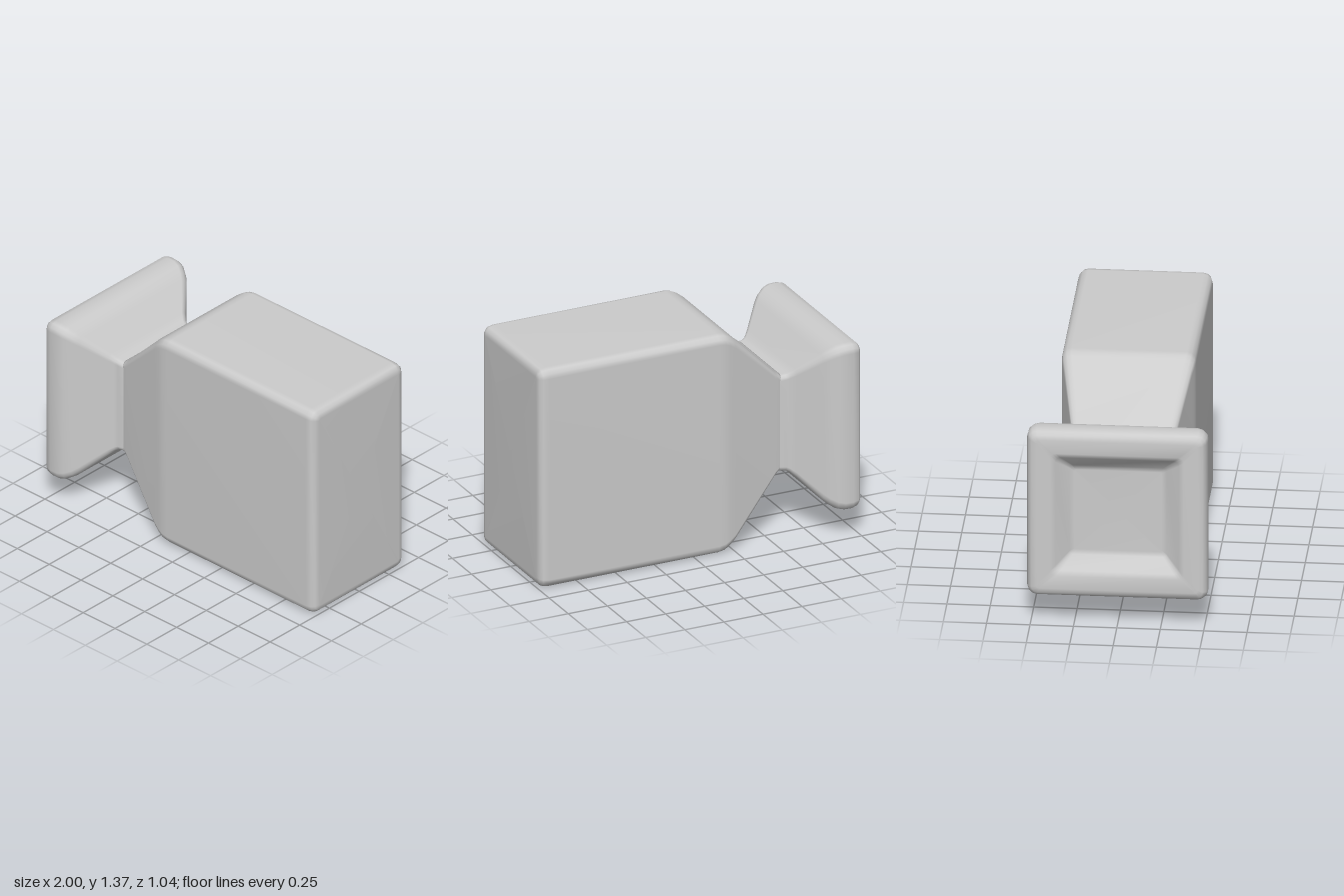
import * as THREE from 'three';

const CORNER = 3; // segments per rounded corner

// Rounded rectangle in the y/z plane, counter-clockwise seen from -x
function ring([x, bottom, top, halfZ, r]) {
  const points = [];
  const cy = (top + bottom) / 2, halfY = (top - bottom) / 2;
  const signs = [[1, 1], [-1, 1], [-1, -1], [1, -1]];
  signs.forEach(([sz, sy], q) => {
    for (let k = 0; k <= CORNER; k++) {
      const a = (q + k / CORNER) * Math.PI / 2;
      points.push([
        x,
        cy + sy * (halfY - r) + r * Math.sin(a),
        sz * (halfZ - r) + r * Math.cos(a),
      ]);
    }
  });
  return points;
}

// Skin a list of sections [x, bottom, top, halfZ, radius] and close both ends
function loft(sections) {
  const n = 4 * (CORNER + 1);
  const positions = [], index = [];
  sections.forEach((s) => ring(s).forEach((p) => positions.push(...p)));
  for (let i = 0; i < sections.length - 1; i++) {
    for (let j = 0; j < n; j++) {
      const a = i * n + j, c = i * n + (j + 1) % n;
      index.push(a, a + n, c, a + n, c + n, c);
    }
  }
  const first = sections[0], last = sections[sections.length - 1];
  const start = positions.length / 3, end = start + 1;
  for (const s of [first, last]) positions.push(s[0], (s[1] + s[2]) / 2, 0);
  const offset = (sections.length - 1) * n;
  for (let j = 0; j < n; j++) {
    const k = (j + 1) % n;
    index.push(start, j, k, end, offset + k, offset + j);
  }
  const geometry = new THREE.BufferGeometry();
  geometry.setAttribute('position', new THREE.Float32BufferAttribute(positions, 3));
  geometry.setIndex(index);
  geometry.computeVertexNormals();
  return geometry;
}

export function createModel() {
  const group = new THREE.Group();
  const material = new THREE.MeshStandardMaterial({ color: 0xcccccc });
  const add = (name, geometry) => {
    const mesh = new THREE.Mesh(geometry, material);
    mesh.name = name;
    group.add(mesh);
  };

  // Tall box body, tapering to a neck on the -x side
  add('body', loft([
    [-0.61, 0.41, 0.99, 0.28, 0.03],
    [-0.58, 0.40, 1.005, 0.29, 0.03],
    [-0.55, 0.375, 1.03, 0.298, 0.035],
    [-0.26, 0.05, 1.32, 0.37, 0.05],
    [-0.22, 0.02, 1.35, 0.38, 0.055],
    [-0.19, 0.006, 1.364, 0.385, 0.055],
    [-0.15, 0, 1.37, 0.387, 0.055],
    [0.94, 0, 1.37, 0.387, 0.055],
    [0.975, 0.007, 1.363, 0.38, 0.05],
    [0.993, 0.025, 1.345, 0.362, 0.035],
    [1, 0.055, 1.315, 0.332, 0.01],
  ]));

  // Square flared lens hood: [x, half size, corner radius], recessed front first
  const hood = [
    [-0.91, 0.25, 0.01],
    [-0.915, 0.28, 0.02],
    [-0.985, 0.355, 0.03],
    [-1, 0.385, 0.03],
    [-1, 0.465, 0.02],
    [-0.993, 0.493, 0.035],
    [-0.975, 0.512, 0.05],
    [-0.94, 0.521, 0.055],
    [-0.89, 0.52, 0.055],
    [-0.85, 0.51, 0.055],
    [-0.81, 0.485, 0.05],
    [-0.78, 0.457, 0.045],
    [-0.67, 0.34, 0.035],
    [-0.64, 0.312, 0.03],
    [-0.62, 0.303, 0.03],
    [-0.58, 0.298, 0.03],
    [-0.56, 0.28, 0.03],
  ];
  add('lensHood', loft(hood.map(([x, h, r]) =>
    [x, 0.697 - h, 0.697 + h, x > -0.68 ? h - 0.008 : h, r])));

  return group;
}
